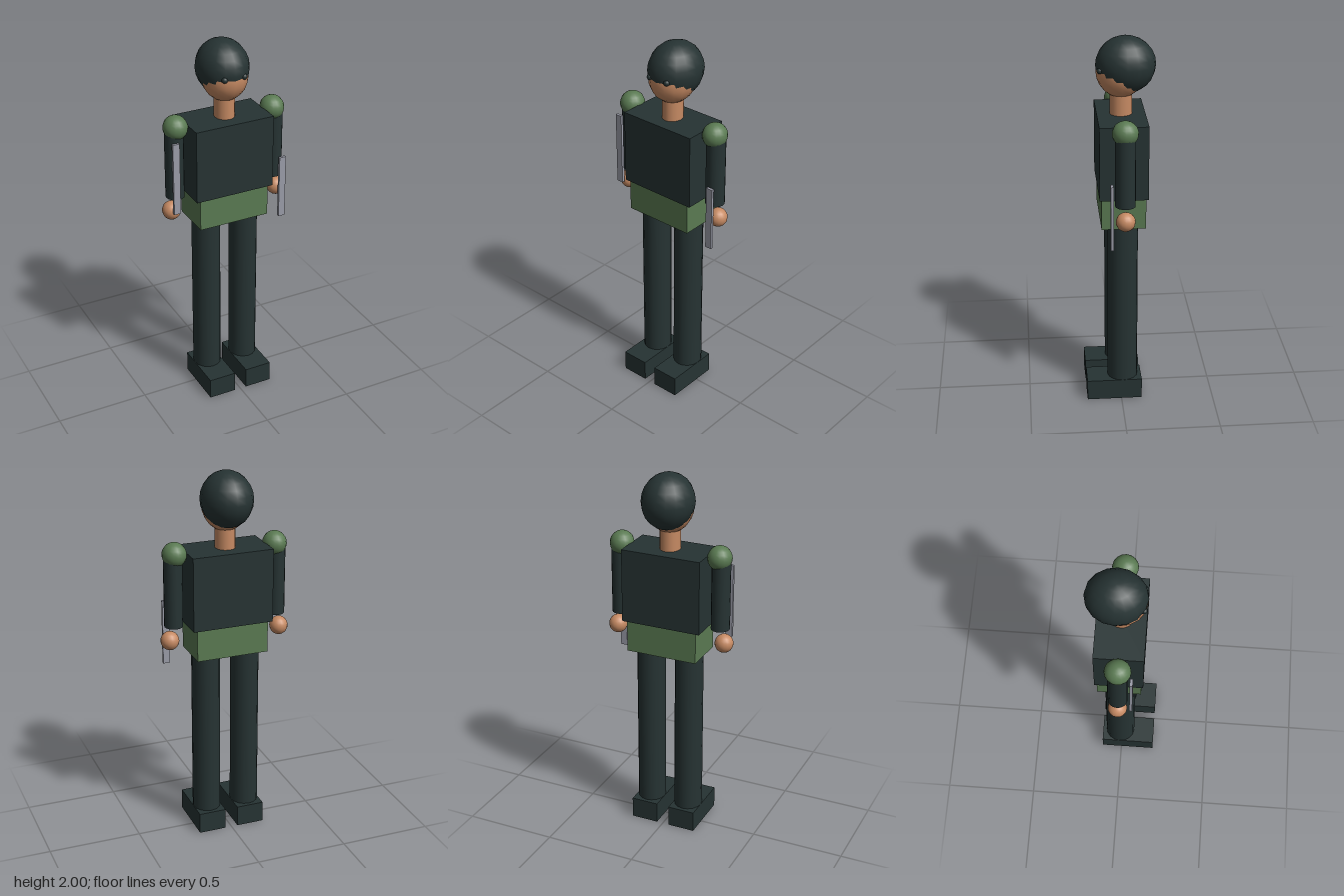
import * as THREE from 'three';

const mat = (name, color) => {
  const m = new THREE.MeshStandardMaterial({ color });
  m.name = name;
  return m;
};

export function createModel() {
  const dark = mat('dark cloth', 0x263333);
  const green = mat('green cloth', 0x5a7a52);
  const skin = mat('skin', 0xc68a63);
  const steel = mat('steel', 0x9a9ca8);

  const model = new THREE.Group();
  model.name = 'figure';
  const AXIS = -0.01; // depth of the body's centre line

  const add = (name, geometry, material, x, y, z = AXIS) => {
    const mesh = new THREE.Mesh(geometry, material);
    mesh.name = name;
    mesh.position.set(x, y, z);
    model.add(mesh);
    return mesh;
  };
  const box = (w, h, d) => new THREE.BoxGeometry(w, h, d);
  const ellipsoid = (rx, ry, rz) => new THREE.SphereGeometry(1, 16, 12).scale(rx, ry, rz);
  const column = (rx, h, rz) => new THREE.CylinderGeometry(1, 1, h, 16).scale(rx, 1, rz);

  // Trunk
  add('torso', box(0.436, 0.395, 0.25), dark, 0, 1.397);
  add('hips', box(0.39, 0.17, 0.23), green, 0, 1.115);

  // Head, with the hair as a larger shell set up and back
  add('neck', column(0.053, 0.14, 0.058), skin, 0, 1.655);
  add('head', ellipsoid(0.121, 0.135, 0.128), skin, 0, 1.82);
  add('hair', ellipsoid(0.135, 0.147, 0.154), dark, 0, 1.853, -0.034);

  for (const [side, s] of [['left', 1], ['right', -1]]) {
    add(`${side}Eye`, ellipsoid(0.016, 0.016, 0.016), dark, s * 0.054, 1.838, 0.1);

    // Arm
    add(`${side}Shoulder`, ellipsoid(0.064, 0.065, 0.067), green, s * 0.275, 1.585);
    add(`${side}Arm`, column(0.049, 0.38, 0.052), dark, s * 0.284, 1.39);
    add(`${side}Hand`, ellipsoid(0.049, 0.05, 0.05), skin, s * 0.306, 1.122);

    // Leg
    add(`${side}Leg`, column(0.075, 0.93, 0.081), dark, s * 0.11, 0.57);
    add(`${side}Shoe`, box(0.15, 0.115, 0.297), dark, s * 0.11, 0.0575, 0.0375);
  }

  // Blades held at different heights
  add('leftBlade', box(0.037, 0.35, 0.015), steel, 0.305, 1.145, 0.059);
  add('rightBlade', box(0.037, 0.395, 0.015), steel, -0.306, 1.332, 0.059);

  return model;
}
